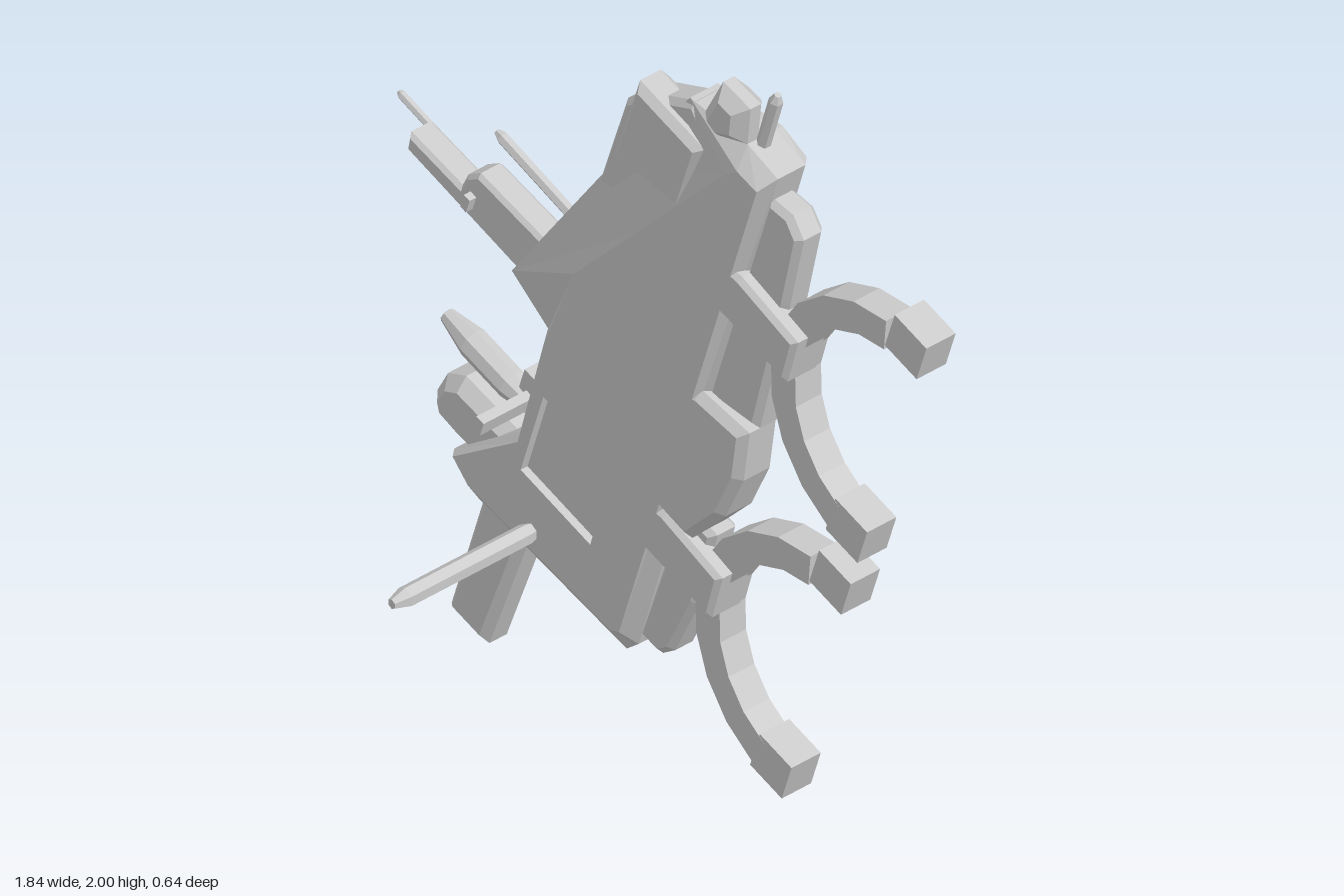
import * as THREE from 'three';

const mat = new THREE.MeshStandardMaterial({ color: 0xcccccc, flatShading: true });
const vec = (pts) => pts.map(([x, y]) => new THREE.Vector2(x, y));

export function createModel() {
  const model = new THREE.Group();
  const add = (name, geo, side) => {
    const mesh = new THREE.Mesh(geo, side ? Object.assign(mat.clone(), { side }) : mat);
    mesh.name = name;
    model.add(mesh);
    return mesh;
  };

  // Flat plate between two depths with chamfered rims
  const plate = (name, pts, z0, z1, b = 0.015) => {
    const geo = new THREE.ExtrudeGeometry(new THREE.Shape(vec(pts)), {
      depth: z1 - z0 - 2 * b, bevelEnabled: b > 0, bevelThickness: b, bevelSize: b, bevelOffset: -b, bevelSegments: 1,
    });
    geo.translate(0, 0, z0 + b);
    return add(name, geo);
  };

  // Faceted rod with pointed ends; taper is the length of each end
  const rod = (name, a, b, r, taper = 0.03, tip = 0.5, sides = 6) => {
    const from = new THREE.Vector3(...a), dir = new THREE.Vector3(...b).sub(from), len = dir.length();
    const geo = new THREE.LatheGeometry(vec([[0.0001, 0], [r * tip, 0], [r, taper], [r, len - taper], [r * tip, len], [0.0001, len]]), sides);
    const mesh = add(name, geo);
    mesh.position.copy(from);
    mesh.quaternion.setFromUnitVectors(new THREE.Vector3(0, 1, 0), dir.normalize());
  };

  const box = (name, w, h, d, x, y, z, tilt = -0.31) => {
    const mesh = add(name, new THREE.BoxGeometry(w, h, d));
    mesh.position.set(x, y, z);
    mesh.rotation.z = tilt;
  };

  // Main body: front face, outline and back face joined by sloping sides
  const outline = [[0.43, 1.81], [0.33, 1.85], [0.14, 1.87], [-0.15, 1.5], [-0.45, 1.07], [-0.33, 0.98], [-0.42, 0.65], [-0.64, 0.48], [-0.56, 0.39], [-0.07, 0.255], [-0.03, 0.29]];
  const front = [[0.405, 1.78], [0.34, 1.8], [0.3, 1.77], [0, 1.44], [-0.2, 1.22], [-0.3, 0.97], [-0.385, 0.66], [-0.6, 0.5], [-0.55, 0.45], [-0.08, 0.32], [-0.05, 0.33]];
  const back = [[0.4, 1.8], [0.32, 1.84], [0.18, 1.84], [-0.11, 1.46], [-0.38, 1.09], [-0.3, 0.97], [-0.385, 0.64], [-0.6, 0.49], [-0.54, 0.42], [-0.08, 0.3], [-0.06, 0.32]];
  const frontRecess = [[-0.3, 0.83], [-0.075, 0.76], [-0.145, 0.515], [-0.375, 0.59]];
  const backRecess = [[-0.165, 0.93], [-0.005, 0.88], [-0.12, 0.52], [-0.28, 0.57]];
  const pos = [];
  const tri = (...p) => p.forEach((q) => pos.push(...q));
  const at = (pts, z) => pts.map(([x, y]) => [x, y, z]);
  const join = (ringA, ringB) => ringA.forEach((a, i) => {
    const j = (i + 1) % ringA.length;
    tri(a, ringB[i], ringB[j]);
    tri(a, ringB[j], ringA[j]);
  });
  const cap = (pts, hole, z, floorZ, flip) => {
    const all = at([...pts, ...hole], z), floor = at(hole, floorZ), rim = at(hole, z);
    for (const [a, b, c] of THREE.ShapeUtils.triangulateShape(vec(pts), [vec(hole)])) {
      flip ? tri(all[c], all[b], all[a]) : tri(all[a], all[b], all[c]);
    }
    flip ? join(floor, rim) : join(rim, floor);
    const f = flip ? floor : [...floor].reverse();
    tri(f[0], f[1], f[2]);
    tri(f[0], f[2], f[3]);
  };
  const rings = [at(front, -0.085), at(outline, -0.125), at(outline, -0.205), at(back, -0.235)];
  for (let i = 0; i < 3; i++) join(rings[i], rings[i + 1]);
  cap(front, frontRecess, -0.085, -0.105, false);
  cap(back, backRecess, -0.235, -0.21, true);
  const bodyGeo = new THREE.BufferGeometry();
  bodyGeo.setAttribute('position', new THREE.Float32BufferAttribute(pos, 3));
  bodyGeo.computeVertexNormals();
  add('body', bodyGeo, THREE.DoubleSide);

  // Upper side plate, raised block and top knob
  plate('upperSidePlate', [[-0.16, 1.48], [-0.07, 1.75], [-0.01, 1.8], [0.16, 1.87], [0.24, 1.75], [0.02, 1.48]], -0.205, -0.115);
  plate('raisedBlock', [[-0.08, 1.61], [0, 1.85], [0.215, 1.78], [0.15, 1.58]], -0.18, -0.085, 0.018);
  plate('topKnob', [[0.19, 1.86], [0.25, 1.975], [0.34, 1.95], [0.33, 1.85], [0.25, 1.82]], -0.185, -0.095, 0.03);
  rod('topPin', [0.33, 1.8, -0.16], [0.39, 2, -0.16], 0.017, 0.02);

  // Rails and guard along the right-hand edge
  plate('upperRail', [[0.4, 1.74], [0.47, 1.73], [0.505, 1.68], [0.46, 1.48], [0.36, 1.09], [0.2, 1.1]], -0.2, -0.12);
  plate('lowerRail', [[0.12, 0.75], [0.22, 0.72], [0.16, 0.5], [0.08, 0.33], [0.04, 0.3], [-0.03, 0.32]], -0.2, -0.12);
  plate('middleGuard', [[0.1, 1.1], [0.2, 1.12], [0.36, 1.09], [0.34, 0.95], [0.28, 0.82], [0.17, 0.7], [0.0, 0.76]], -0.2, -0.085, 0.02);

  // Two curved clamps, each with a mount and two end blocks
  for (const [dx, dy] of [[0, 0], [-0.25, -0.78]]) {
    const arc = [];
    const from = 85, to = 243, n = 9;
    for (const r of [0.353, 0.272]) {
      for (let i = 0; i <= n; i++) {
        const k = r > 0.3 ? i : n - i;
        const a = THREE.MathUtils.degToRad(from + ((to - from) * k) / n);
        arc.push([0.757 + dx + r * Math.cos(a), 1.273 + dy + r * Math.sin(a)]);
      }
    }
    plate('clampArm', arc, -0.2, -0.125, 0);
    const mount = [[0.25, 1.53], [0.345, 1.51], [0.53, 1.435], [0.495, 1.31], [0.3, 1.375], [0.2, 1.4]];
    plate('clampMount', mount.map(([x, y]) => [x + dx, y + dy]), -0.19, -0.085, 0.012);
    box('clampEnd', 0.11, 0.106, 0.085, 0.852 + dx, 1.59 + dy, -0.168);
    box('clampEnd', 0.11, 0.106, 0.085, 0.656 + dx, 0.981 + dy, -0.168);
  }

  // Lower grip and rounded rear block
  plate('grip', [[-0.53, 0.46], [-0.38, 0.42], [-0.535, 0.005], [-0.66, 0.045]], -0.205, -0.115, 0.02);
  plate('rearBlock', [[-0.735, 0.57], [-0.7, 0.635], [-0.64, 0.66], [-0.4, 0.59], [-0.36, 0.43], [-0.64, 0.49], [-0.72, 0.52]], -0.28, -0.13, 0.03);

  // Upper side barrel with its rods
  plate('sideBarrel', [[-0.81, 1.235], [-0.64, 1.185], [-0.62, 1.225], [-0.58, 1.25], [-0.3, 1.17], [-0.35, 1.03], [-0.82, 1.185]], -0.215, -0.14, 0.01);
  box('barrelPeg', 0.02, 0.04, 0.095, -0.6, 1.17, -0.168);
  rod('barrelTip', [-0.92, 1.252, -0.21], [-0.78, 1.205, -0.21], 0.011, 0.01);
  rod('upperRod', [-0.59, 1.33, -0.205], [-0.3, 1.23, -0.205], 0.015, 0.02);

  // Lower side pod with its bracket and crossbar
  rod('sidePod', [-0.71, 0.785, -0.165], [-0.41, 0.69, -0.165], 0.037, 0.09, 0.5, 8);
  box('podBracket', 0.06, 0.11, 0.05, -0.43, 0.73, -0.18);
  box('crossbar', 0.025, 0.04, 0.31, -0.43, 0.715, -0.165);

  // Long handle standing out of the front
  rod('frontHandle', [-0.34, 0.443, -0.11], [-0.34, 0.443, 0.32], 0.025, 0.04);

  return model;
}
